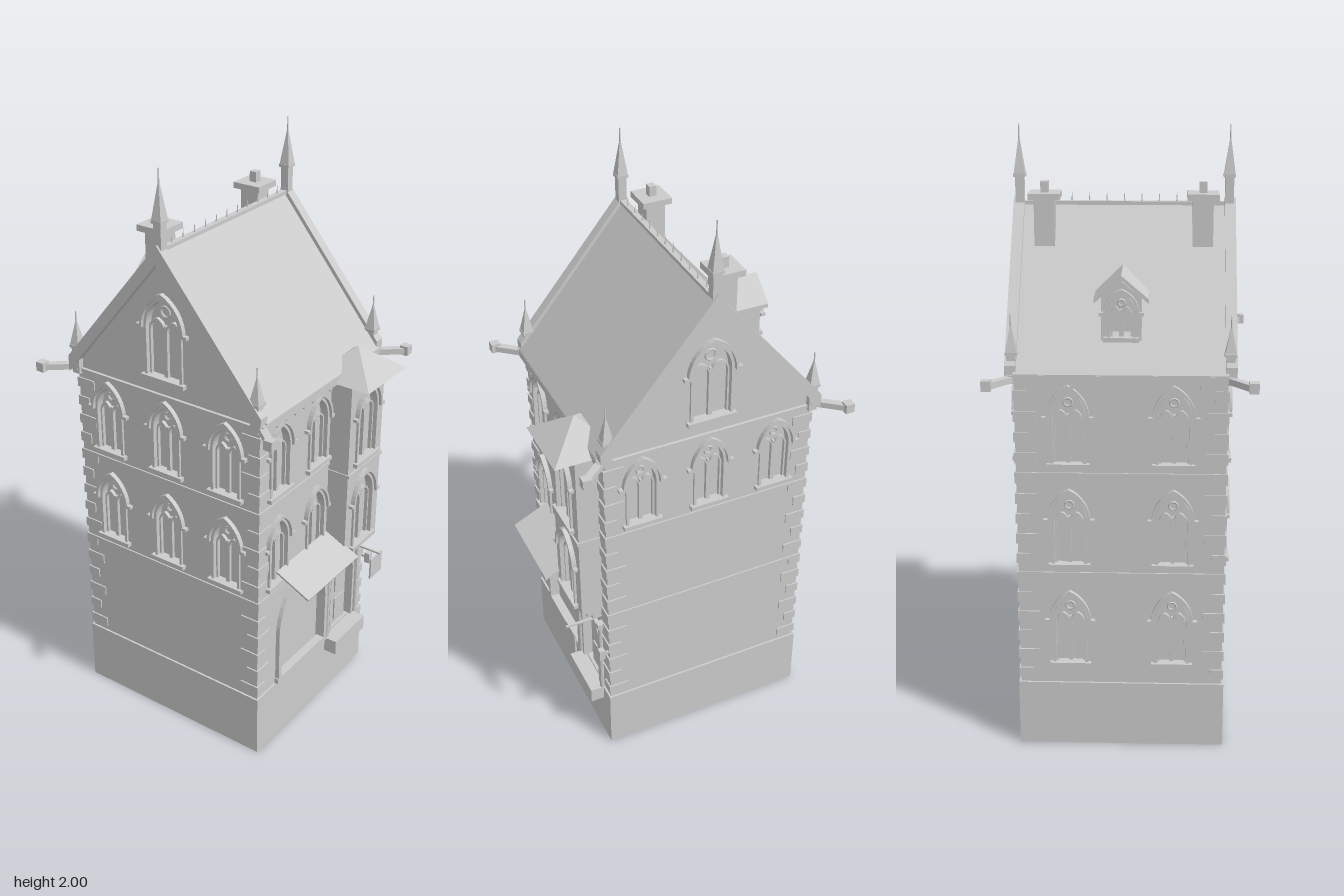
import * as THREE from 'three';

const mat = new THREE.MeshStandardMaterial({ color: 0xcccccc, flatShading: true });
const X = 0.33, D = 0.36, Z0 = -0.0215, T = 0.02; // half width, half depth, depth centre, wall thickness

function add(parent, name, geo, x = 0, y = 0, z = 0) {
  const m = new THREE.Mesh(geo, mat);
  m.name = name;
  m.position.set(x, y, z);
  parent.add(m);
  return m;
}
const box = (parent, name, w, h, d, x, y, z) => add(parent, name, new THREE.BoxGeometry(w, h, d), x, y, z);
function group(parent, name, x = 0, y = 0, z = 0, ry = 0) {
  const g = new THREE.Group();
  g.name = name;
  g.position.set(x, y, z);
  g.rotation.y = ry;
  parent.add(g);
  return g;
}
const poly = pts => new THREE.Shape(pts.map(p => (p.isVector2 ? p : new THREE.Vector2(p[0], p[1]))));
const extrude = (shape, depth) => new THREE.ExtrudeGeometry(shape, { depth, bevelEnabled: false });
// Profile drawn in (z, y), extruded along x and centred
const alongX = (shape, w) => extrude(shape, w).translate(0, 0, -w / 2).rotateY(-Math.PI / 2);

// Outline of a pointed arch: half width w, springing s, apex h, foot at (cx, y)
function arch(w, s, h, cx = 0, y = 0) {
  const d = h - s, R = (w * w + d * d) / (2 * w), a = Math.atan2(d, R - w), n = 8, right = [];
  for (let i = 0; i <= n; i++) {
    const t = (a * i) / n;
    right.push([w - R + R * Math.cos(t), s + R * Math.sin(t)]);
  }
  const left = right.slice(0, n).reverse().map(p => [-p[0], p[1]]);
  const pts = s > 0 ? [[-w, 0], [w, 0], ...right, ...left] : [...right, ...left];
  return pts.map(p => new THREE.Vector2(p[0] + cx, p[1] + y));
}
// Arched band of thickness t around an opening
function archBand(w, s, h, t, depth) {
  const inner = arch(w, s, h), outer = arch(w + t, s, h + t * 1.2);
  const k = s > 0 ? 1 : 0; // walk from the right foot over the apex to the left foot
  const run = a => (k ? [...a.slice(1), a[0]] : a);
  return extrude(poly([...run(outer), ...run(inner).reverse()]), depth);
}

// Gothic window with frame, hood mould, sill and tracery
function archWindow(parent, o) {
  const { w, s, h } = o, g = group(parent, 'window', o.x, o.y, 0);
  add(g, 'windowFrame', archBand(w, s, h, 0.009, 0.02), 0, 0, -0.012);
  add(g, 'hoodMould', archBand(w + 0.012, 0, h - s + 0.012, 0.009, 0.016), 0, s, 0);
  for (const e of [-1, 1]) box(g, 'hoodStop', 0.022, 0.011, 0.016, e * (w + 0.023), s, 0.008);
  box(g, 'sill', 2 * w + 0.04, 0.014, 0.03, 0, -0.005, 0.002);
  const zt = -0.018, half = w / 2;
  box(g, 'mullion', 0.007, s + 0.01, 0.012, 0, (s + 0.01) / 2, zt + 0.006);
  for (const e of [-1, 1]) add(g, 'lancet', archBand(half - 0.007, s - 0.012, s + half * 0.7, 0.006, 0.012), e * half, 0, zt);
  add(g, 'roundel', new THREE.TorusGeometry(w * 0.27, 0.004, 5, 14), 0, s + (h - s) * 0.56, zt + 0.006);
}

// Wall panel whose outer face lies at local z = 0, cut by arched openings
function wall(parent, name, outline, openings) {
  const shape = poly(outline);
  for (const o of openings) shape.holes.push(new THREE.Path(arch(o.w, o.s, o.h, o.x, o.y).reverse()));
  add(parent, name, extrude(shape, T).translate(0, 0, -T));
  for (const o of openings) if (!o.plain) archWindow(parent, o);
}
const win = (x, y, w = 0.047, s = 0.15, h = 0.235) => ({ x, y, w, s, h });
const chevron = (a, yb, apex, t) => poly([[-a, yb - t], [0, apex - t], [a, yb - t], [a, yb], [0, apex], [-a, yb]]);

function pinnacle(root, x, z, y0, y1, y2, y3) {
  const g = group(root, 'pinnacle', x, 0, z);
  box(g, 'pinnacleShaft', 0.028, y1 - y0, 0.028, 0, (y0 + y1) / 2, 0);
  box(g, 'pinnacleCollar', 0.038, 0.01, 0.038, 0, y1, 0);
  const h = y2 - y1;
  add(g, 'spire', new THREE.ConeGeometry(0.026, h, 4).rotateY(Math.PI / 4), 0, y1 + h / 2, 0);
  add(g, 'finial', new THREE.CylinderGeometry(0.002, 0.003, y3 - y2 + 0.02, 6), 0, (y2 + y3) / 2 - 0.01, 0);
}

export function createModel() {
  const root = new THREE.Group();
  root.name = 'townhouse';

  // Hollow plinth and solid core behind the walls
  const rect = (a, b) => [[-a, -b], [a, -b], [a, b], [-a, b]];
  const base = poly(rect(0.337, 0.367));
  base.holes.push(new THREE.Path(poly(rect(0.327, 0.357)).getPoints().reverse()));
  add(root, 'plinth', extrude(base, 0.225).rotateX(-Math.PI / 2), 0, 0, Z0);
  box(root, 'floor', 0.66, 0.01, 0.72, 0, 0.22, Z0);
  add(root, 'core', alongX(poly([[-D + T, 0.22], [D - T, 0.22], [D - T, 1.26], [0, 1.71], [-D + T, 1.26]]), 2 * (X - T)), 0, 0, Z0);

  // Front wall with two window rows, shop arch and door
  const wallRect = [[-X, 0.22], [X, 0.22], [X, 1.28], [-X, 1.28]];
  const front = group(root, 'front', 0, 0, Z0 + D);
  const shop = { x: -0.07, y: 0.235, w: 0.135, s: 0.19, h: 0.385, plain: true };
  const door = { x: 0.185, y: 0.235, w: 0.068, s: 0.2, h: 0.285, plain: true };
  const rows = [0.65, 0.99];
  wall(front, 'frontWall', wallRect, [shop, door, ...rows.flatMap(y => [win(-0.22, y), win(0, y)])]);
  add(front, 'shopFrame', archBand(shop.w, shop.s, shop.h, 0.016, 0.03), shop.x, shop.y, -0.015);
  box(front, 'shopSill', 0.31, 0.02, 0.03, shop.x, 0.235, 0);
  add(front, 'doorFrame', archBand(door.w, door.s, door.h, 0.012, 0.025), door.x, door.y, -0.012);
  box(front, 'doorLeaf', 0.09, 0.25, 0.01, 0.195, 0.36, -0.015);
  for (const y of [0.3, 0.42]) box(front, 'doorPanel', 0.06, 0.09, 0.008, 0.195, y, -0.009);
  for (const e of [-1, 1]) {
    add(front, 'doorColumn', new THREE.CylinderGeometry(0.008, 0.008, 0.3, 8), 0.185 + e * 0.095, 0.385, 0.012);
    box(front, 'columnCapital', 0.024, 0.02, 0.024, 0.185 + e * 0.095, 0.535, 0.012);
  }
  box(front, 'doorStep', 0.195, 0.055, 0.055, 0.183, 0.2, 0.027);
  box(front, 'signBracket', 0.008, 0.006, 0.115, 0.25, 0.545, 0.065);
  box(front, 'signBoard', 0.075, 0.08, 0.006, 0.25, 0.492, 0.105);
  box(front, 'lampArm', 0.008, 0.008, 0.03, 0.33, 0.45, 0.012);
  box(front, 'lamp', 0.02, 0.04, 0.02, 0.33, 0.45, 0.03);
  box(front, 'awning', 0.31, 0.007, 0.14, -0.07, 0.652, 0.062).rotation.x = 0.45;

  // Oriel bay with stepped corbel and hipped roof
  const bay = group(front, 'bay', 0.18, 0, 0.076);
  const bw = 0.104;
  wall(bay, 'bayWall', [[-bw, 0.61], [bw, 0.61], [bw, 1.265], [-bw, 1.265]],
    [win(0, 0.63, 0.055, 0.17, 0.26), win(0, 0.96, 0.055, 0.17, 0.26)]);
  box(bay, 'bayBody', 2 * bw, 0.655, 0.07, 0, 0.9375, -T - 0.035);
  box(bay, 'bayCorbel', 0.2, 0.02, 0.07, 0, 0.6, -0.055);
  box(bay, 'bayCorbel', 0.19, 0.025, 0.045, 0, 0.58, -0.065);
  box(bay, 'bayString', 0.216, 0.012, 0.08, 0, 0.925, -0.034);
  const hip = new THREE.ConeGeometry(Math.SQRT1_2, 1, 4).rotateY(Math.PI / 4).scale(0.24, 0.092, 0.23);
  add(root, 'bayRoof', hip, 0.18, 1.306, 0.37);

  // Rear wall with three rows of two windows
  const back = group(root, 'back', 0, 0, Z0 - D, Math.PI);
  wall(back, 'backWall', wallRect, [0.3, ...rows].flatMap(y => [win(-0.165, y), win(0.165, y)]));

  // Gable walls: one row of windows on the right, two on the left
  const gable = [[-D, 0.22], [D, 0.22], [D, 1.28], [0, 1.73], [-D, 1.28]];
  for (const e of [1, -1]) {
    const side = group(root, e > 0 ? 'rightSide' : 'leftSide', e * X, 0, Z0, e * Math.PI / 2);
    const levels = e > 0 ? [0.99] : rows;
    wall(side, 'gableWall', gable, [
      win(0, 1.325, 0.064, 0.165, 0.265),
      ...levels.flatMap(y => [-0.235, 0, 0.235].map(u => win(u, y)))]);
  }

  // String courses, cornice and corner quoins
  for (const y of [0.615, 0.955]) {
    for (const e of [-1, 1]) {
      box(root, 'stringCourse', 2 * X + 0.01, 0.01, 0.01, 0, y, Z0 + e * D);
      box(root, 'stringCourse', 0.01, 0.01, 2 * D + 0.01, e * X, y, Z0);
    }
  }
  for (const e of [-1, 1]) {
    box(root, 'eavesCornice', 0.7, 0.02, 0.035, 0, 1.272, Z0 + e * (D + 0.008));
    box(root, 'gableCornice', 0.02, 0.012, 0.74, e * X, 1.262, Z0);
    for (let i = 0; i < 13; i++) box(root, 'eavesCorbel', 0.014, 0.025, 0.018, -0.3 + i * 0.05, 1.25, Z0 + e * (D + 0.006));
    for (const f of [-1, 1]) {
      for (let i = 0; i < 15; i++) {
        const long = i % 2;
        box(root, 'quoin', long ? 0.07 : 0.045, 0.034, long ? 0.045 : 0.07,
          e * (X + 0.005 - (long ? 0.035 : 0.0225)), 0.26 + i * 0.068, Z0 + f * (D + 0.005 - (long ? 0.0225 : 0.035)));
      }
    }
  }

  // Main roof, raised copings and ridge cresting
  add(root, 'roof', alongX(chevron(0.385, 1.285, 1.75, 0.03), 0.66), 0, 0, Z0);
  for (const e of [-1, 1]) {
    add(root, 'gableCoping', alongX(chevron(0.38, 1.31, 1.77, 0.055), 0.035), e * 0.338, 0, Z0);
    pinnacle(root, e * 0.335, Z0, 1.7, 1.84, 1.97, 2);
    for (const [z, out] of [[0.33, 0.425], [-0.377, -0.475]]) {
      pinnacle(root, e * 0.335, z, 1.25, 1.345, 1.44, 1.465);
      // Diagonal water spouts
      const dx = e * 0.08, dz = out - z, g = group(root, 'waterSpout', e * 0.32, 1.268, z, Math.atan2(dx, dz));
      const L = Math.hypot(dx, dz);
      box(g, 'spoutArm', 0.024, 0.02, L, 0, 0, L / 2);
      box(root, 'spoutHead', 0.03, 0.032, 0.03, e * 0.402, 1.27, out);
    }
    // Chimneys
    const c = group(root, 'chimney', e * 0.25, 0, -0.09);
    box(c, 'chimneyStack', 0.065, 0.18, 0.065, 0, 1.69, 0);
    box(c, 'chimneyCap', 0.1, 0.02, 0.1, 0, 1.785, 0);
    box(c, 'chimneyPot', 0.025, 0.035, 0.025, 0, 1.812, 0);
  }
  box(root, 'ridge', 0.64, 0.012, 0.02, 0, 1.752, Z0);
  for (let i = 0; i < 11; i++) add(root, 'ridgeSpike', new THREE.ConeGeometry(0.003, 0.035, 5), -0.28 + i * 0.056, 1.773, Z0);

  // Rear dormer
  const dormer = group(root, 'dormer', 0, 0, -0.332, Math.PI);
  add(dormer, 'dormerBody', extrude(poly([[-0.062, 1.35], [0.062, 1.35], [0.062, 1.51], [0, 1.56], [-0.062, 1.51]]), 0.2).translate(0, 0, -0.2 - T));
  wall(dormer, 'dormerFront', [[-0.062, 1.35], [0.062, 1.35], [0.062, 1.51], [0, 1.56], [-0.062, 1.51]], [win(0, 1.385, 0.035, 0.075, 0.13)]);
  add(dormer, 'dormerRoof', extrude(chevron(0.084, 1.508, 1.58, 0.014), 0.2).translate(0, 0, -0.185));
  return root;
}
